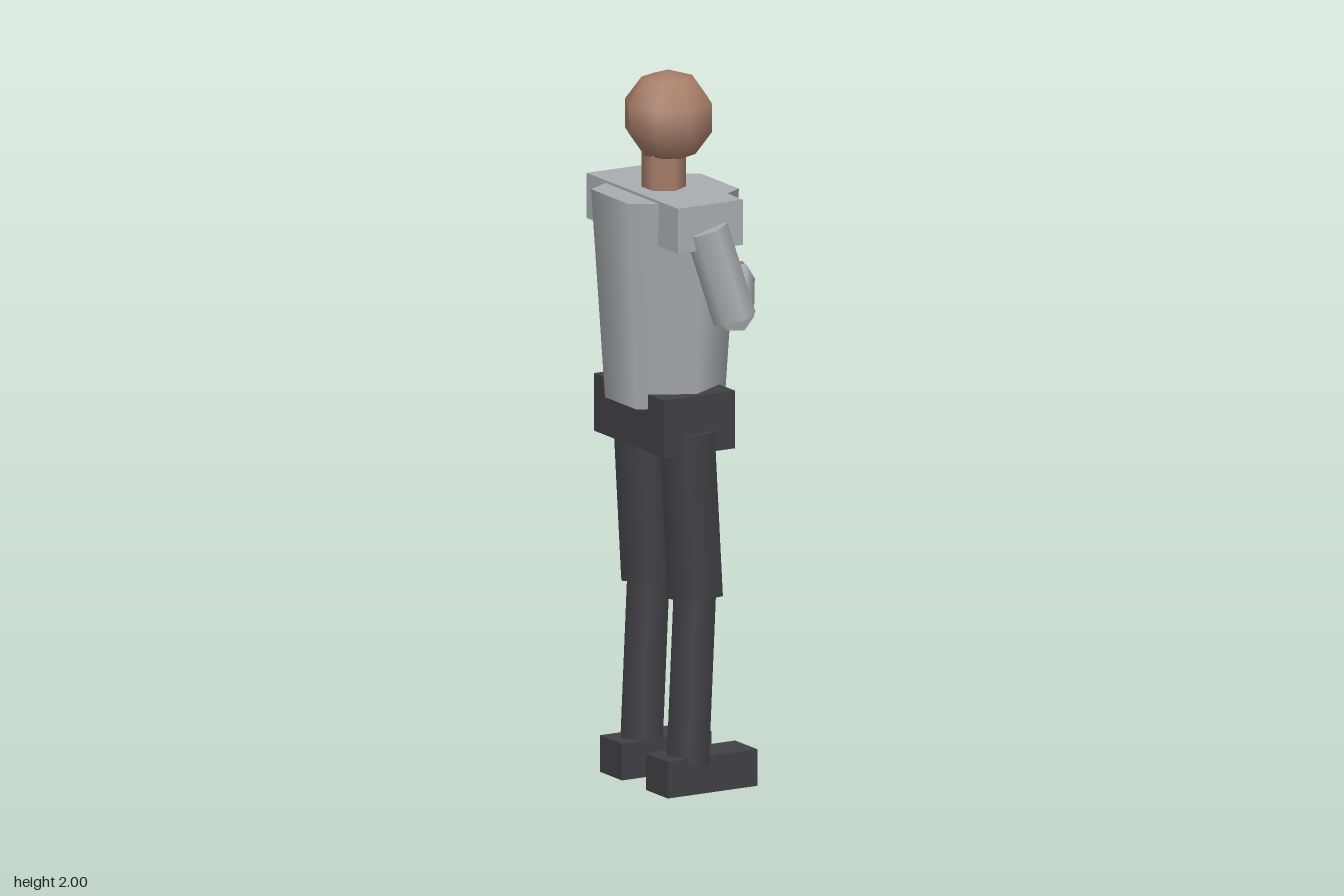
import * as THREE from 'three';

export function createModel() {
  const model = new THREE.Group();
  model.name = 'standingFigure';

  const material = (name, color) => {
    const m = new THREE.MeshStandardMaterial({ color });
    m.name = name;
    return m;
  };
  const skin = material('skin', 0xa67d68);
  const shirt = material('shirt', 0xa9adb0);
  const trousers = material('trousers', 0x404045);

  const add = (name, geometry, mat, x = 0, y = 0, z = 0) => {
    const mesh = new THREE.Mesh(geometry, mat);
    mesh.name = name;
    mesh.position.set(x, y, z);
    model.add(mesh);
    return mesh;
  };

  // Box given by its lower and upper corners
  const box = (name, mat, lo, hi) => add(
    name, new THREE.BoxGeometry(...hi.map((h, i) => h - lo[i])), mat,
    ...hi.map((h, i) => (h + lo[i]) / 2));

  // Six-sided limb from point a (bottom) to point b (top), turned about its own axis
  const limb = (name, mat, radius, a, b, turn = 0) => {
    const p = new THREE.Vector3(...a), q = new THREE.Vector3(...b);
    const axis = q.clone().sub(p);
    const geometry = new THREE.CylinderGeometry(radius, radius, axis.length(), 6).rotateY(turn);
    const mesh = add(name, geometry, mat, ...p.add(q).multiplyScalar(0.5).toArray());
    mesh.quaternion.setFromUnitVectors(new THREE.Vector3(0, 1, 0), axis.normalize());
  };

  // Head and neck (the figure looks along +x)
  add('head', new THREE.SphereGeometry(0.129, 8, 5), skin, -0.015, 1.87, 0);
  add('neck', new THREE.CylinderGeometry(0.061, 0.061, 0.13, 6), skin, -0.03, 1.71, 0);

  // Torso, shoulder yoke and hips
  add('torso', new THREE.CylinderGeometry(0.202, 0.164, 0.585, 6), shirt, -0.026, 1.372, 0);
  box('shoulders', shirt, [-0.13, 1.545, -0.242], [0.077, 1.672, 0.242]);
  box('hips', trousers, [-0.14, 0.96, -0.186], [0.086, 1.122, 0.186]);

  // Arms and legs, mirrored across z
  for (const [side, s] of [['right', 1], ['left', -1]]) {
    limb(side + 'UpperArm', shirt, 0.06, [0.038, 1.347, s * 0.263], [-0.032, 1.6, s * 0.23]);
    limb(side + 'Forearm', shirt, 0.05, [0.04, 1.353, s * 0.265], [0.157, 1.407, s * 0.075]);
    add(side + 'Hand', new THREE.SphereGeometry(0.043, 6, 5), skin, 0.16, 1.412, s * 0.063);

    limb(side + 'Thigh', trousers, 0.087, [-0.004, 0.55, s * 0.123], [-0.03, 1.015, s * 0.123], Math.PI / 2);
    limb(side + 'Shin', trousers, 0.066, [-0.027, 0.08, s * 0.123], [-0.005, 0.55, s * 0.123], Math.PI / 2);
    const z = [0.063, 0.18].map(v => s * v).sort((a, b) => a - b);
    box(side + 'Shoe', trousers, [-0.125, 0, z[0]], [0.16, 0.103, z[1]]);
  }

  return model;
}
